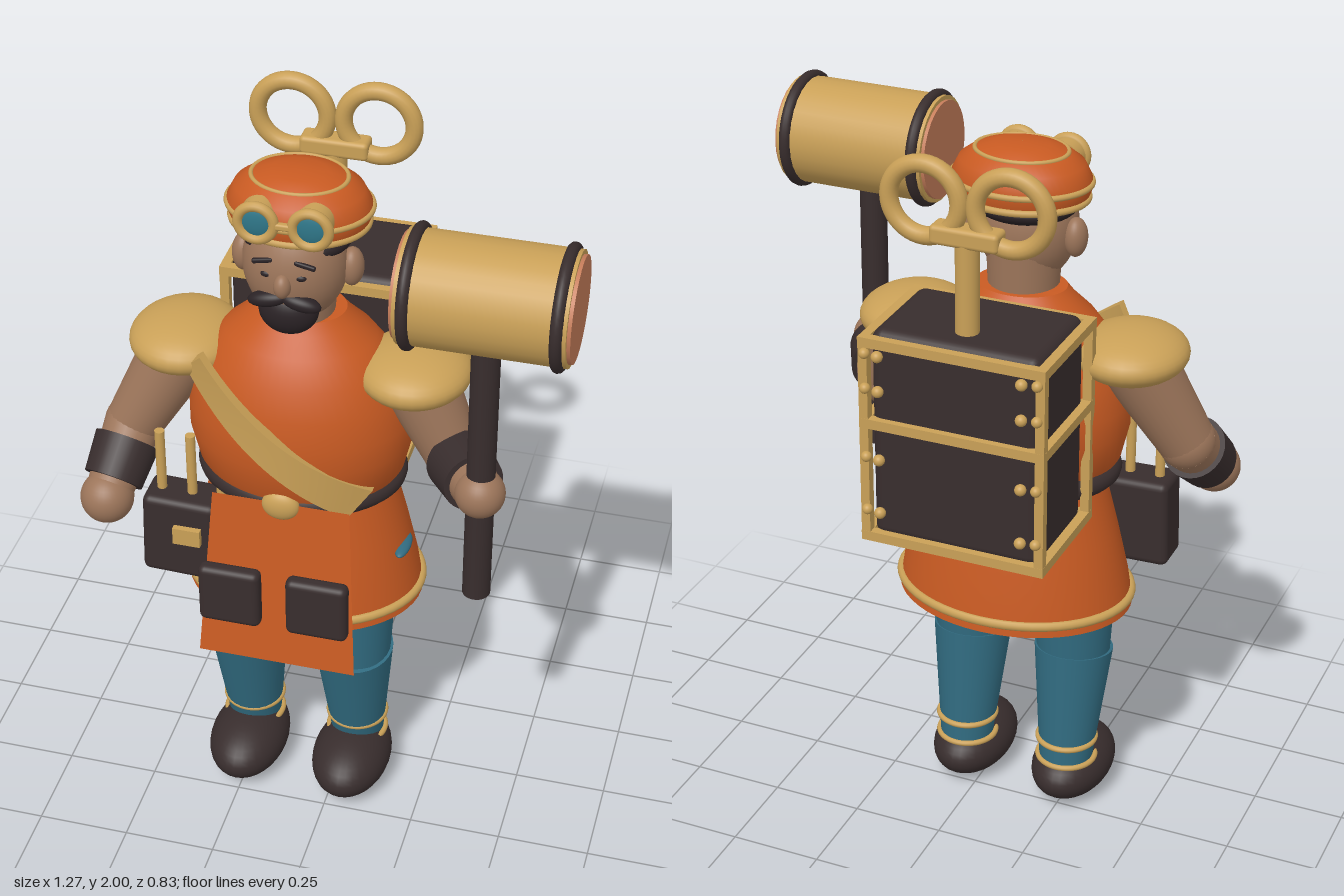
import * as THREE from 'three';
import { toCreasedNormals } from 'three/addons/utils/BufferGeometryUtils.js';
import { RoundedBoxGeometry } from 'three/addons/geometries/RoundedBoxGeometry.js';

const mat = (name, color, side = THREE.FrontSide) => {
  const m = new THREE.MeshStandardMaterial({ color, side });
  m.name = name;
  return m;
};

export function createModel() {
  const orange = mat('orange cloth', 0xc85a22, THREE.DoubleSide);
  const gold = mat('brass', 0xc9a057);
  const dark = mat('dark leather', 0x382d2d);
  const teal = mat('teal cloth', 0x316b80);
  const skin = mat('skin', 0x9c755a);
  const copper = mat('copper', 0xc67d5a);
  const hair = mat('hair', 0x2a2225);
  const lensMat = mat('lens', 0x2f7688);

  const root = new THREE.Group();
  root.name = 'craftsman';
  const CX = -0.105; // centre line of the body

  // ---- helpers ----
  const add = (name, geo, m, x = 0, y = 0, z = 0) => {
    const mesh = new THREE.Mesh(geo, m);
    mesh.name = name;
    mesh.position.set(x, y, z);
    root.add(mesh);
    return mesh;
  };
  const ball = (name, m, x, y, z, rx, ry = rx, rz = rx) => {
    const b = add(name, new THREE.SphereGeometry(1, 32, 20), m, x, y, z);
    b.scale.set(rx, ry, rz);
    return b;
  };
  const rod = (name, m, a, b, ra, rb = ra) => {
    const p = new THREE.Vector3(...a), q = new THREE.Vector3(...b);
    const d = q.clone().sub(p);
    const r = add(name, new THREE.CylinderGeometry(rb, ra, d.length(), 28), m);
    r.position.copy(p).add(q).multiplyScalar(0.5);
    r.quaternion.setFromUnitVectors(new THREE.Vector3(0, 1, 0), d.normalize());
    return r;
  };
  const box = (name, m, w, h, d, x, y, z, r = 0) =>
    add(name, r ? new RoundedBoxGeometry(w, h, d, 3, r) : new THREE.BoxGeometry(w, h, d), m, x, y, z);
  // Horizontal ring, flattened front to back
  const hoop = (name, m, R, t, x, y, z, depth = 1) => {
    const h = add(name, new THREE.TorusGeometry(R, t, 12, 56).rotateX(Math.PI / 2), m, x, y, z);
    h.scale.z = depth;
    return h;
  };
  const lathe = (name, m, pts, z, depth) => {
    const g = new THREE.LatheGeometry(pts.map(p => new THREE.Vector2(...p)), 56);
    const l = add(name, toCreasedNormals(g, 0.7), m, CX, 0, z);
    l.scale.z = depth;
    return l;
  };

  // ---- legs and shoes ----
  for (const s of [-1, 1]) {
    const x = CX + s * 0.15;
    ball('shoe', dark, x, 0.09, 0.11, 0.108, 0.085, 0.168);
    rod('lowerLeg', teal, [x, 0.13, 0.045], [x, 0.48, 0.093], 0.072, 0.108);
    rod('upperLeg', teal, [x, 0.47, 0.09], [x, 0.72, 0.088], 0.1, 0.113);
    for (const y of [0.145, 0.205]) hoop('ankleRing', gold, 0.079, 0.008, x, y, 0.052);
  }

  // ---- tunic ----
  lathe('skirt', orange, [[0.001, 0.66], [0.322, 0.66], [0.308, 0.75], [0.278, 0.88], [0.255, 0.97], [0.236, 1.05]], 0.035, 0.78);
  hoop('hemBand', gold, 0.318, 0.013, CX, 0.692, 0.035, 0.78);
  lathe('torso', orange, [[0.235, 1.03], [0.272, 1.09], [0.293, 1.18], [0.293, 1.25], [0.278, 1.33],
    [0.245, 1.41], [0.195, 1.475], [0.145, 1.52], [0.12, 1.55], [0.001, 1.555]], 0.06, 0.78);
  hoop('belt', dark, 0.25, 0.028, CX, 1.053, 0.05, 0.8);
  ball('buckle', gold, CX, 1.062, 0.265, 0.05, 0.043, 0.025);
  ball('clothPatch', teal, 0.175, 0.84, 0.075, 0.02, 0.012, 0.055);

  // Apron hanging away from the skirt
  const flap = new THREE.PlaneGeometry(1, 1, 1, 6);
  const fp = flap.attributes.position;
  for (let i = 0; i < fp.count; i++) {
    const t = 0.5 - fp.getY(i);
    const half = 0.182 + 0.03 * t;
    fp.setXYZ(i, CX + 2 * half * fp.getX(i), 1.07 - 0.485 * t, 0.268 + 0.065 * t);
  }
  flap.computeVertexNormals();
  add('apron', flap, orange);
  for (const s of [-1, 1]) box('apronPocket', dark, 0.165, 0.175, 0.046, CX + s * 0.117, 0.807, 0.346, 0.018);

  // Shoulder strap bent round the chest
  const strap = new THREE.BoxGeometry(0.565, 0.085, 0.03, 24, 1, 1);
  strap.rotateZ(-0.69).translate(-0.125, 1.25, 0);
  const sp = strap.attributes.position;
  for (let i = 0; i < sp.count; i++) {
    sp.setZ(i, sp.getZ(i) + 0.295 - 1.9 * (sp.getX(i) + 0.12) ** 2);
  }
  add('chestStrap', toCreasedNormals(strap, 0.6), gold);

  // ---- arms ----
  for (const s of [-1, 1]) ball('shoulderPad', gold, CX + s * 0.3, 1.408, 0.067, 0.146, 0.069, 0.16);
  const arm = (shoulder, elbow, hand, rHand) => {
    const mix = t => elbow.map((v, i) => v + (hand[i] - v) * t);
    rod('upperArm', skin, shoulder, elbow, 0.1, 0.075);
    ball('elbow', skin, ...elbow, 0.076);
    rod('forearm', skin, elbow, hand, 0.076, 0.06);
    rod('cuff', dark, mix(0.25), mix(0.78), 0.086, 0.078);
    ball('hand', skin, ...hand, rHand);
  };
  arm([-0.41, 1.39, 0.07], [-0.54, 1.15, 0.13], [-0.57, 1.01, 0.28], 0.07);
  arm([0.2, 1.39, 0.07], [0.3, 1.19, 0.09], [0.412, 1.21, 0.272], 0.064);

  // ---- head ----
  rod('neck', skin, [CX, 1.5, 0.07], [CX, 1.7, 0.075], 0.09, 0.1);
  ball('head', skin, CX, 1.7, 0.095, 0.132, 0.155, 0.122);
  ball('backHair', hair, CX, 1.765, 0.075, 0.138, 0.045, 0.12);
  ball('nose', skin, CX, 1.695, 0.215, 0.022, 0.032, 0.025);
  ball('beard', hair, CX, 1.598, 0.162, 0.076, 0.066, 0.055);
  for (const s of [-1, 1]) {
    ball('ear', skin, CX + s * 0.138, 1.69, 0.075, 0.03, 0.052, 0.036);
    ball('eye', hair, CX + s * 0.042, 1.718, 0.203, 0.016, 0.009, 0.009);
    box('eyebrow', hair, 0.055, 0.013, 0.012, CX + s * 0.053, 1.752, 0.2, 0.005).rotation.z = -s * 0.2;
    ball('moustache', hair, CX + s * 0.042, 1.645, 0.2, 0.052, 0.021, 0.024).rotation.z = -s * 0.2;
  }

  // Cap with piping
  lathe('cap', orange, [[0.14, 1.785], [0.17, 1.795], [0.182, 1.825], [0.18, 1.85], [0.162, 1.885],
    [0.125, 1.912], [0.07, 1.928], [0.001, 1.933]], 0.052, 0.8);
  hoop('capPiping', gold, 0.172, 0.009, CX, 1.798, 0.05, 0.82);
  hoop('capPiping', gold, 0.181, 0.008, CX, 1.838, 0.05, 0.8);
  hoop('capPiping', gold, 0.12, 0.006, CX, 1.912, 0.05, 0.8);

  // Goggles
  for (const s of [-1, 1]) {
    const x = CX + s * 0.068;
    add('goggleRim', new THREE.TorusGeometry(0.045, 0.013, 12, 36), gold, x, 1.855, 0.2);
    rod('goggleCup', gold, [x, 1.855, 0.15], [x, 1.855, 0.196], 0.048);
    ball('lens', lensMat, x, 1.855, 0.196, 0.042, 0.042, 0.012);
  }
  box('goggleBridge', gold, 0.05, 0.018, 0.018, CX, 1.855, 0.202, 0.006);

  // ---- mallet ----
  const HX = 0.416, HY = 1.785, HZ = 0.265;
  rod('malletHandle', dark, [0.412, 0.89, 0.268], [0.412, 1.68, 0.268], 0.036);
  rod('malletHead', gold, [HX - 0.205, HY, HZ], [HX + 0.205, HY, HZ], 0.141);
  for (const s of [-1, 1]) {
    rod('malletFace', copper, [HX + s * 0.19, HY, HZ], [HX + s * 0.214, HY, HZ], 0.13);
    add('malletBand', new THREE.TorusGeometry(0.14, 0.015, 12, 48).rotateY(Math.PI / 2), dark, HX + s * 0.181, HY, HZ);
  }

  // ---- hip pouch with tools ----
  box('hipPouch', dark, 0.2, 0.245, 0.12, -0.393, 0.875, 0.19, 0.02).rotation.z = -0.03;
  box('pouchClasp', gold, 0.074, 0.05, 0.02, -0.365, 0.9, 0.257);
  for (const x of [-0.45, -0.367, -0.287]) rod('tool', gold, [x, 0.95, 0.19], [x, 1.18, 0.19], 0.013);

  // ---- backpack ----
  const PZ = -0.222, w = 0.235, d = 0.156;
  box('pack', dark, 0.45, 0.575, 0.3, CX, 1.272, PZ, 0.03);
  for (const s of [-1, 1]) {
    for (const y of [0.99, 1.31, 1.532]) {
      box('frameSideBar', gold, 0.025, 0.026, 0.336, CX + s * w, y, PZ);
      box('frameCrossBar', gold, 0.495, 0.026, 0.025, CX, y, PZ + s * d);
    }
    for (const t of [-1, 1]) box('framePost', gold, 0.024, 0.55, 0.024, CX + s * w, 1.262, PZ + t * d);
    for (const y of [1.07, 1.22, 1.41, 1.505]) ball('rivet', gold, CX + s * 0.19, y, -0.4, 0.015);
    for (const y of [1.07, 1.22, 1.41, 1.505]) ball('rivet', gold, CX + s * 0.228, y, -0.393, 0.014);
  }

  // Wind-up key
  rod('keyStem', gold, [CX, 1.54, -0.285], [CX, 1.82, -0.285], 0.03);
  box('keyBar', gold, 0.18, 0.05, 0.062, CX, 1.81, -0.285, 0.012);
  for (const s of [-1, 1]) {
    add('keyLoop', new THREE.TorusGeometry(0.092, 0.023, 14, 44), gold, CX + s * 0.113, 1.885, -0.285);
  }

  return root;
}
